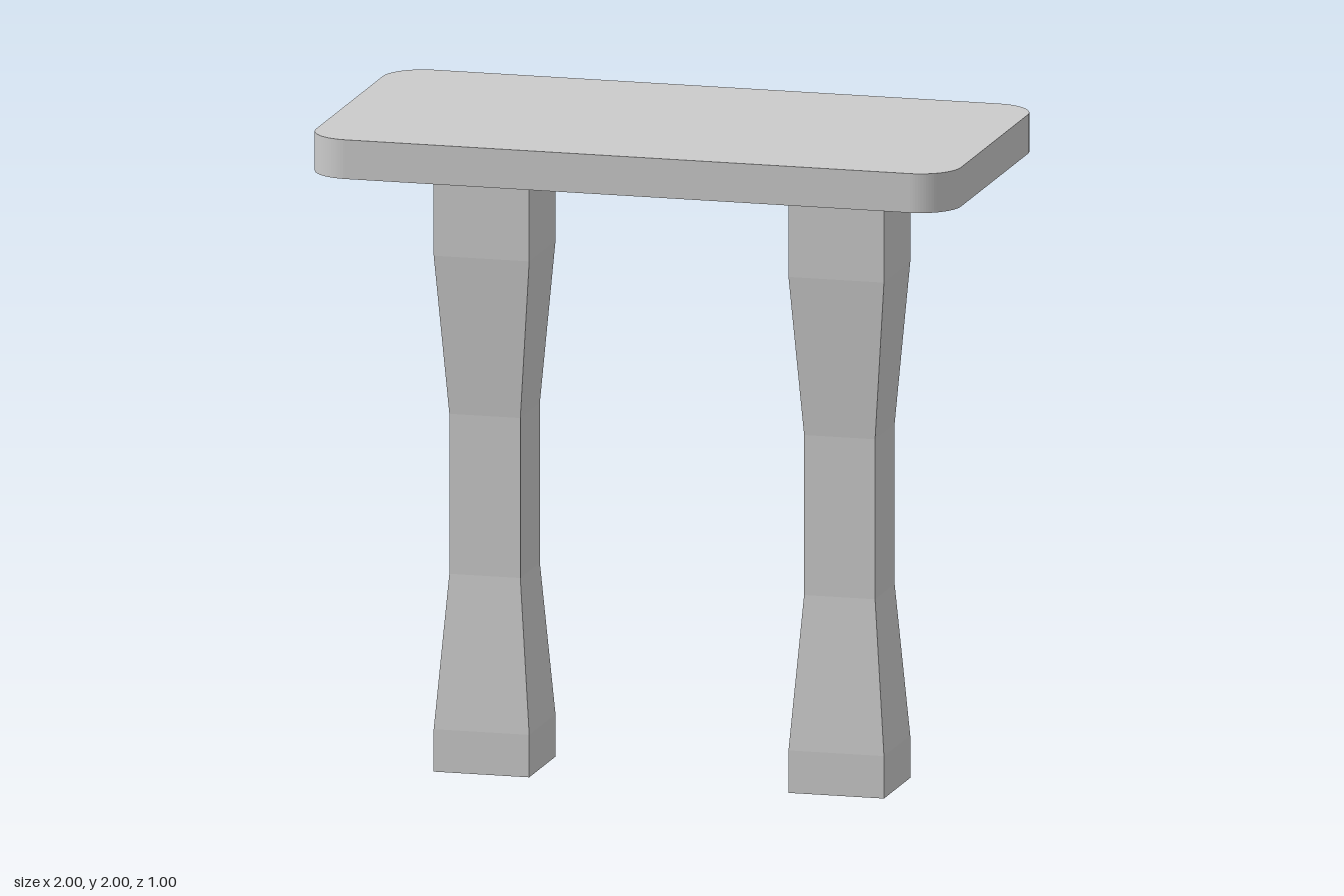
import * as THREE from 'three';

const material = new THREE.MeshStandardMaterial({ color: 0xcccccc });
const flatMaterial = new THREE.MeshStandardMaterial({ color: 0xcccccc, flatShading: true });

// Rounded rectangle outline centred on the origin
function roundedRect(width, depth, r) {
  const x = width / 2 - r, y = depth / 2 - r;
  const shape = new THREE.Shape();
  shape.absarc(x, y, r, 0, Math.PI / 2);
  shape.absarc(-x, y, r, Math.PI / 2, Math.PI);
  shape.absarc(-x, -y, r, Math.PI, Math.PI * 1.5);
  shape.absarc(x, -y, r, Math.PI * 1.5, Math.PI * 2);
  shape.closePath();
  return shape;
}

// Square post with a narrow waist: [half width, height] turned in four sides
function createLeg() {
  const profile = [
    [0, 0], [0.148, 0], [0.148, 0.13], [0.11, 0.6],
    [0.11, 1.09], [0.148, 1.58], [0.148, 1.88], [0, 1.88],
  ].map(([half, y]) => new THREE.Vector2(half * Math.SQRT2, y));
  const geometry = new THREE.LatheGeometry(profile, 4, Math.PI / 4);
  return new THREE.Mesh(geometry, flatMaterial);
}

export function createModel() {
  const model = new THREE.Group();
  model.name = 'table';

  // Table top
  const topGeometry = new THREE.ExtrudeGeometry(roundedRect(2, 1, 0.125), {
    depth: 0.12, bevelEnabled: false, curveSegments: 12,
  });
  topGeometry.rotateX(-Math.PI / 2);
  const top = new THREE.Mesh(topGeometry, material);
  top.name = 'tableTop';
  top.position.y = 1.88;
  model.add(top);

  // Legs, one on each side
  for (const side of [-1, 1]) {
    const leg = createLeg();
    leg.name = side > 0 ? 'leftLeg' : 'rightLeg';
    leg.position.x = side * 0.55;
    model.add(leg);
  }

  return model;
}
